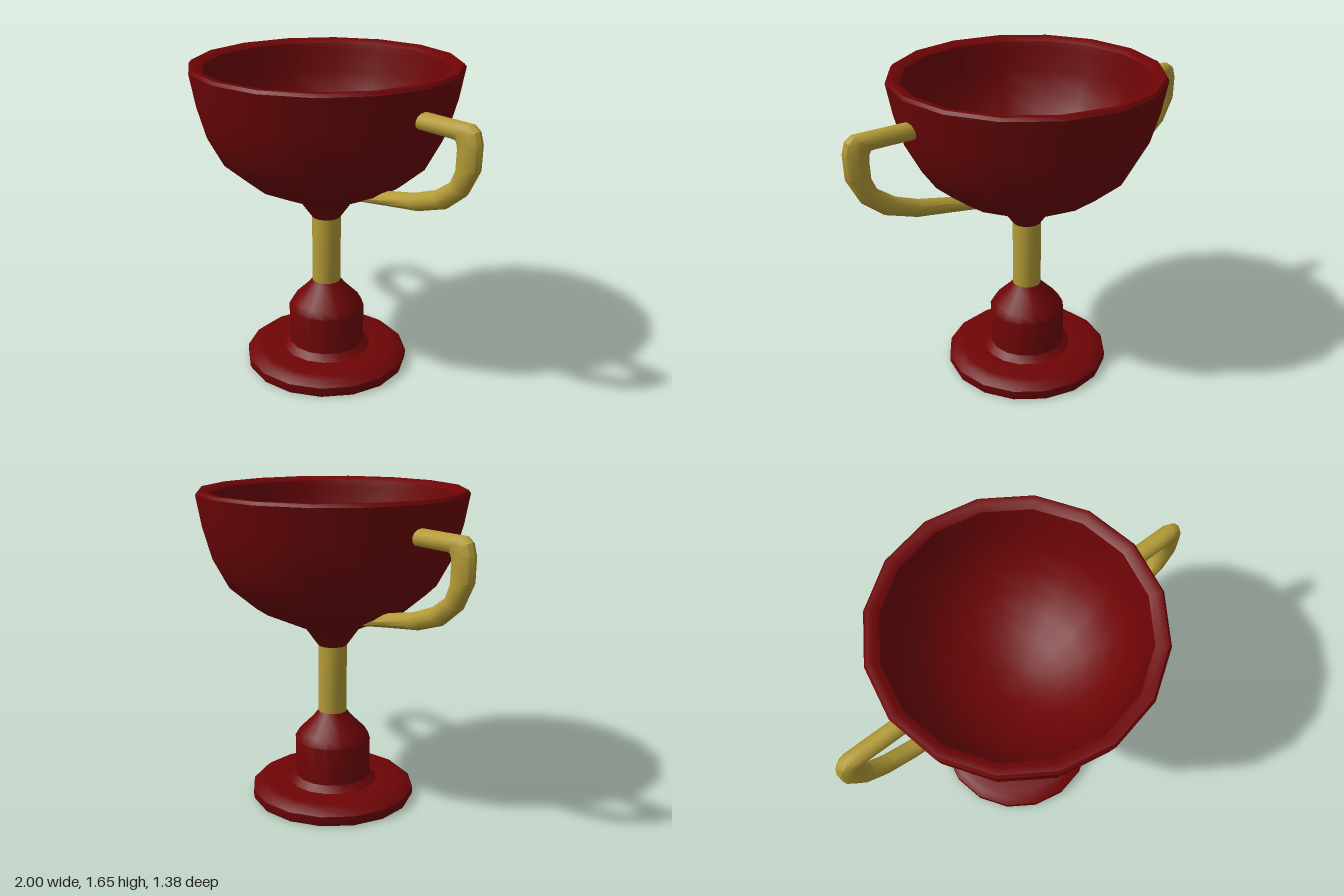
import * as THREE from 'three';
import { toCreasedNormals } from 'three/addons/utils/BufferGeometryUtils.js';

const SIDES = 16;
const red = new THREE.MeshStandardMaterial({ color: 0x6e0406 });
const gold = new THREE.MeshStandardMaterial({ color: 0xb39b36 });

function part(name, geometry, material) {
  const mesh = new THREE.Mesh(toCreasedNormals(geometry, 0.6), material);
  mesh.name = name;
  return mesh;
}

function turned(name, profile, material) {
  const points = profile.map(([r, y]) => new THREE.Vector2(r, y));
  return part(name, new THREE.LatheGeometry(points, SIDES), material);
}

// Quarter circle from the side of a hemispherical hollow down to its bottom
function hollow(radius, centreY, steps) {
  return Array.from({ length: steps + 1 }, (_, i) => {
    const a = (i / steps) * Math.PI / 2;
    return [i === steps ? 0 : radius * Math.cos(a), centreY - radius * Math.sin(a)];
  });
}

// Oval tube swept through pairs of points on its outer and inner outline
function handleGeometry(pairs, halfDepth, n) {
  const pos = [], index = [];
  pairs.forEach(([ox, oy, ix, iy], i) => {
    for (let j = 0; j < n; j++) {
      const a = (j / n) * Math.PI * 2, c = Math.cos(a) / 2;
      pos.push((ox + ix) / 2 + (ox - ix) * c, (oy + iy) / 2 + (oy - iy) * c, halfDepth * Math.sin(a));
      if (i === pairs.length - 1) continue;
      const p = i * n + j, q = i * n + (j + 1) % n;
      index.push(p, q, p + n, p + n, q, q + n);
    }
  });
  const g = new THREE.BufferGeometry();
  g.setAttribute('position', new THREE.Float32BufferAttribute(pos, 3));
  g.setIndex(index);
  return g;
}

export function createModel() {
  const trophy = new THREE.Group();
  trophy.name = 'trophy';

  // Foot plate and domed pedestal
  trophy.add(turned('base', [
    [0, 0], [0.43, 0], [0.437, 0.015], [0.437, 0.053], [0.405, 0.08], [0.365, 0.09],
    [0.238, 0.088], [0.203, 0.12], [0.203, 0.322], [0.18, 0.362], [0.102, 0.44], [0.076, 0.475],
  ], red));

  // Stem, its open ends hidden inside base and bowl
  const stem = part('stem', new THREE.CylinderGeometry(0.076, 0.076, 0.37, SIDES, 1, true), gold);
  stem.position.y = 0.657;
  trophy.add(stem);

  // Bowl: outside, lip, then a hemispherical inside
  trophy.add(turned('bowl', [
    [0.076, 0.84], [0.145, 0.937], [0.4, 1.055], [0.535, 1.17], [0.615, 1.32],
    [0.66, 1.48], [0.689, 1.64], [0.677, 1.655], [0.647, 1.655], [0.617, 1.635],
    ...hollow(0.61, 1.6, 8),
  ], red));

  // Handles: outer x, outer y, inner x, inner y
  const outline = [
    [0.63, 1.532, 0.63, 1.446], [0.86, 1.532, 0.84, 1.446], [0.945, 1.532, 0.863, 1.444],
    [0.982, 1.507, 0.872, 1.428], [1, 1.45, 0.874, 1.4], [0.997, 1.33, 0.871, 1.31],
    [0.93, 1.2, 0.845, 1.25], [0.82, 1.11, 0.754, 1.185], [0.66, 1.055, 0.62, 1.134],
    [0.46, 1.025, 0.45, 1.097], [0.28, 0.997, 0.29, 1.05],
  ];
  const left = part('leftHandle', handleGeometry(outline, 0.045, 12), gold);
  const right = left.clone();
  right.name = 'rightHandle';
  right.rotation.y = Math.PI;
  trophy.add(left, right);

  return trophy;
}
